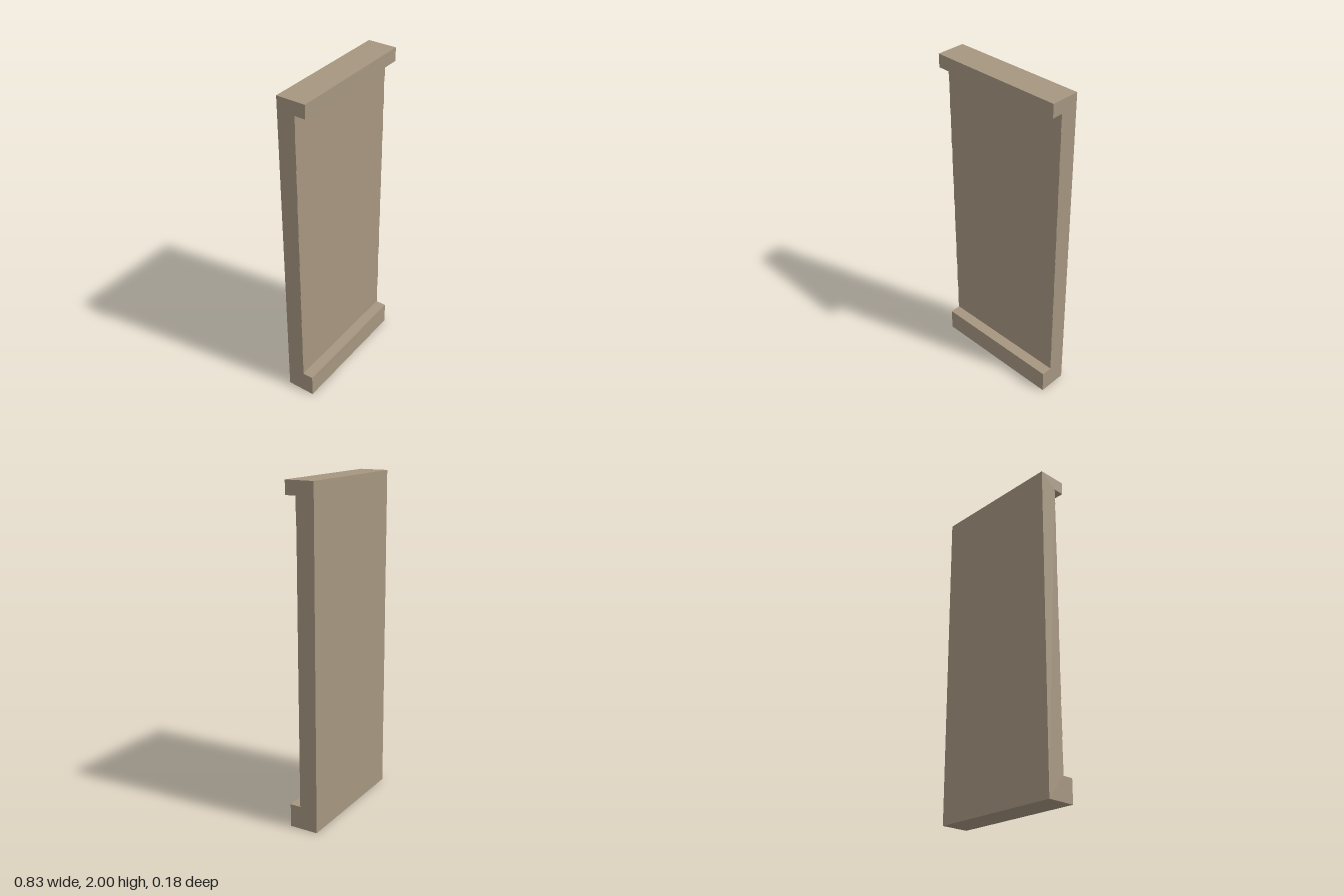
import * as THREE from 'three';

const W = 0.829, BACK = -0.088, FRONT = 0.088, FACE = 0.02;

export function createModel() {
  const group = new THREE.Group();
  group.name = 'sidingWallPanel';
  const tan = new THREE.MeshStandardMaterial({ color: 0xa69680 });
  tan.name = 'tan';

  // Extrude a (z, y) side profile across the panel's width
  function addProfile(name, points) {
    const shape = new THREE.Shape(points.map(([z, y]) => new THREE.Vector2(-z, y)));
    const geo = new THREE.ExtrudeGeometry(shape, { depth: W, bevelEnabled: false });
    geo.translate(0, 0, -W / 2).rotateY(Math.PI / 2);
    const mesh = new THREE.Mesh(geo, tan);
    mesh.name = name;
    group.add(mesh);
  }

  // Wall slab with a deep sill at the bottom and a thin cap at the top
  addProfile('wallFrame', [
    [BACK, 0], [FRONT, 0], [FRONT, 0.14], [FACE, 0.14],
    [FACE, 1.92], [FRONT, 1.92], [FRONT, 2], [BACK, 2],
  ]);

  // Lapped boards: each lower edge stands slightly proud of the wall
  const first = 0.145, pitch = 0.2085, lap = 0.003;
  for (let i = 0; i < 9; i++) {
    const y0 = first + i * pitch;
    const y1 = Math.min(y0 + pitch, 1.92);
    const topLap = lap * (1 - (y1 - y0) / pitch) + 0.0003;
    addProfile('sidingBoard' + (i + 1), [
      [FACE - 0.005, y0], [FACE + lap, y0], [FACE + topLap, y1], [FACE - 0.005, y1],
    ]);
  }
  return group;
}
